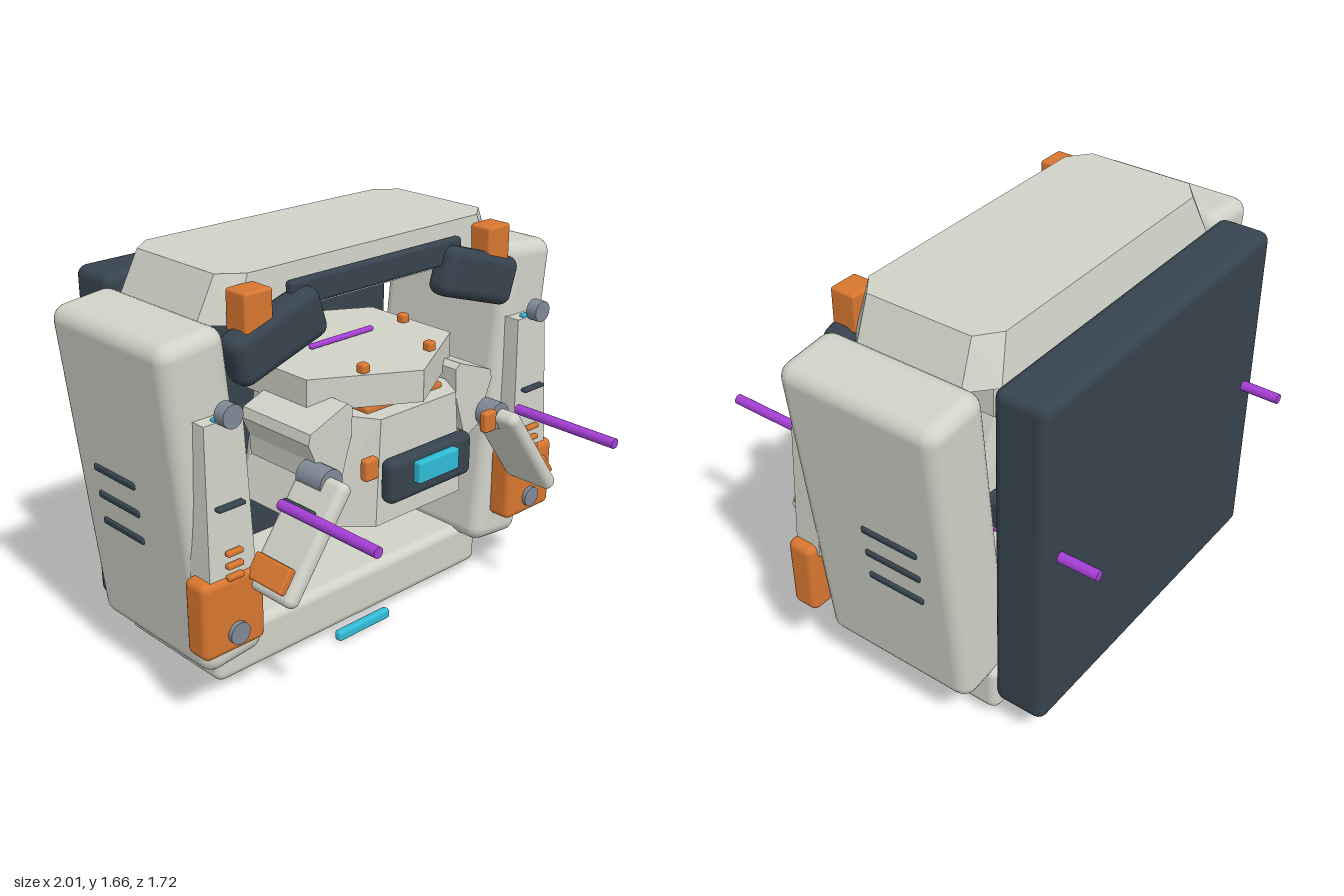
import * as THREE from 'three';
import { RoundedBoxGeometry } from 'three/addons/geometries/RoundedBoxGeometry.js';
import { ConvexGeometry } from 'three/addons/geometries/ConvexGeometry.js';

const mat = (name, color) => {
  const m = new THREE.MeshStandardMaterial({ color });
  m.name = name;
  return m;
};

export function createModel() {
  const root = new THREE.Group();
  root.name = 'machine';
  const shell = mat('pale grey shell', 0xd0d1c7);
  const dark = mat('dark slate', 0x36434e);
  const orange = mat('orange', 0xd87630);
  const purple = mat('purple', 0xa63fd6);
  const cyan = mat('cyan', 0x2fbcd6);
  const metal = mat('blue grey metal', 0x7f8996);

  const add = (parent, name, geo, material, x = 0, y = 0, z = 0) => {
    const m = new THREE.Mesh(geo, material);
    m.name = name;
    m.position.set(x, y, z);
    parent.add(m);
    return m;
  };
  // Rounded box given by centre and size
  const rbox = (parent, name, material, [x, y, z], [w, h, d], r = 0.01) =>
    add(parent, name, new RoundedBoxGeometry(w, h, d, 3, Math.min(r, w * 0.45, h * 0.45, d * 0.45)), material, x, y, z);
  // Cylinder lying along z
  const rod = (parent, name, material, x, y, z0, z1, r, sides = 20) => {
    const g = new THREE.CylinderGeometry(r, r, z1 - z0, sides).rotateX(Math.PI / 2);
    return add(parent, name, g, material, x, y, (z0 + z1) / 2);
  };
  // Corner-cut rectangle in plan, at height y
  const ring = (y, hx, z0, z1, cx, cz) => [-1, 1].flatMap((s) => [
    new THREE.Vector3(s * hx, y, z0 + cz), new THREE.Vector3(s * hx, y, z1 - cz),
    new THREE.Vector3(s * (hx - cx), y, z0), new THREE.Vector3(s * (hx - cx), y, z1),
  ]);
  const prism = (parent, name, material, lower, upper, x = 0) =>
    add(parent, name, new ConvexGeometry([...lower, ...upper]), material, x);

  // Outer frame
  rbox(root, 'backPanel', dark, [0, 0.83, -0.59], [1.47, 1.42, 0.22], 0.04);
  rbox(root, 'base', shell, [0, 0.145, -0.195], [1.47, 0.21, 0.59], 0.04);
  prism(root, 'roof', shell, ring(1.49, 0.755, -0.465, 0.165, 0.1, 0.09), ring(1.66, 0.675, -0.43, 0.155, 0.09, 0.07));
  rbox(root, 'crossBar', dark, [0, 1.56, 0.195], [0.88, 0.1, 0.04], 0.015);
  rbox(root, 'baseLight', cyan, [0, 0.022, 0.128], [0.29, 0.044, 0.036], 0.012);

  // Central body and hexagonal head
  prism(root, 'body', shell, ring(0.67, 0.42, -0.3, 0.43, 0.19, 0.18), ring(1.09, 0.27, -0.28, 0.42, 0.07, 0.12));
  const hex = new THREE.CylinderGeometry(0.44, 0.44, 0.125, 6).toNonIndexed();
  hex.computeVertexNormals();
  add(root, 'head', hex, shell, 0, 1.1725, 0);
  rbox(root, 'neckStrip', orange, [0, 1.098, 0.27], [0.4, 0.026, 0.16], 0.008);
  rbox(root, 'headBar', purple, [0, 1.25, 0], [0.33, 0.02, 0.025], 0.008);
  rbox(root, 'facePlate', dark, [0, 0.857, 0.465], [0.44, 0.175, 0.07], 0.03);
  rbox(root, 'faceScreen', cyan, [0, 0.88, 0.515], [0.215, 0.085, 0.036], 0.008);

  for (const s of [-1, 1]) {
    const side = new THREE.Group();
    side.name = s > 0 ? 'leftSide' : 'rightSide';
    root.add(side);

    // Leaning side pod with vents
    const pod = new THREE.Group();
    pod.name = 'sidePod';
    pod.position.set(s * 0.8, 0.855, -0.122);
    pod.rotation.z = -s * 0.11;
    side.add(pod);
    rbox(pod, 'podShell', shell, [0, 0, 0], [0.28, 1.32, 0.685], 0.06);
    for (const y of [0.055, -0.06, -0.175])
      rbox(pod, 'vent', dark, [s * 0.138, y, -0.073], [0.025, 0.03, 0.25], 0.01);

    // Shoulder block and cap under the roof
    rbox(side, 'shoulderBlock', dark, [s * 0.52, 1.438, 0.21], [0.42, 0.2, 0.12], 0.045).rotation.z = -s * 0.31;
    rbox(side, 'shoulderCap', orange, [s * 0.617, 1.55, 0.198], [0.125, 0.155, 0.11], 0.012);

    // Front strut with foot, pivots and markings
    const plate = (y, h, z) => [-h, h].flatMap((x) => [0.19, z].map((q) => new THREE.Vector3(x, y, q)));
    prism(side, 'strut', shell, plate(0.6, 0.105, 0.305), plate(1.22, 0.085, 0.28), s * 0.81);
    rbox(side, 'strutFoot', orange, [s * 0.815, 0.488, 0.26], [0.28, 0.31, 0.12], 0.03);
    rod(side, 'upperPivot', metal, s * 0.81, 1.25, 0.285, 0.335, 0.044);
    rod(side, 'lowerPivot', metal, s * 0.81, 0.413, 0.3, 0.338, 0.044);
    rbox(side, 'strutLight', cyan, [s * 0.805, 1.222, 0.265], [0.08, 0.02, 0.03], 0.006);
    rbox(side, 'strutSlot', dark, [s * 0.812, 0.91, 0.305], [0.12, 0.016, 0.03], 0.006);
    for (const y of [0.735, 0.685, 0.64])
      rbox(side, 'strutStripe', orange, [s * 0.81, y, 0.315], [0.07, 0.02, 0.025], 0.006);

    // Upper arm, elbow and slanted forearm
    const pts = [[0.49, 1.05], [0.48, 1.09], [0.3, 1.16], [0.275, 1.14], [0.28, 1.03], [0.33, 0.87], [0.365, 0.845], [0.45, 0.89], [0.455, 0.97]];
    const shape = new THREE.Shape(pts.map(([x, y]) => new THREE.Vector2(s * x, y)));
    add(side, 'upperArm', new THREE.ExtrudeGeometry(shape, { depth: 0.37, bevelEnabled: false }), shell, 0, 0, -0.02);
    rod(side, 'elbow', metal, s * 0.455, 0.92, 0.3, 0.43, 0.055);
    const forearm = new THREE.Group();
    forearm.name = 'forearm';
    forearm.position.set(s * 0.585, 0.745, 0.4);
    forearm.rotation.z = s * 0.62;
    side.add(forearm);
    rbox(forearm, 'forearmShell', shell, [0, 0, 0], [0.065, 0.48, 0.24], 0.03);
    rbox(forearm, 'forearmCuff', orange, [s * 0.035, -0.158, -0.01], [0.05, 0.1, 0.19], 0.01);
    rbox(forearm, 'forearmSlot', dark, [s * 0.035, 0.08, -0.025], [0.03, 0.05, 0.165], 0.01);

    // Rods front and back, rear mount
    rod(side, 'frontRod', purple, s * 0.64, 0.88, 0.37, 0.855, 0.021, 12);
    rod(side, 'backRod', purple, s * 0.64, 0.88, -0.86, -0.37, 0.021, 12);
    rbox(side, 'rearMount', dark, [s * 0.62, 0.94, -0.43], [0.08, 0.125, 0.1], 0.02);

    // Small markers on head and face
    rbox(side, 'cheekMarker', orange, [s * 0.32, 0.955, 0.485], [0.065, 0.085, 0.038], 0.012);
    rbox(side, 'headStudFront', orange, [s * 0.175, 1.25, 0.3], [0.04, 0.04, 0.04], 0.01);
    rbox(side, 'headStudSide', orange, [s * 0.34, 1.25, 0], [0.04, 0.04, 0.04], 0.01);
  }
  return root;
}
